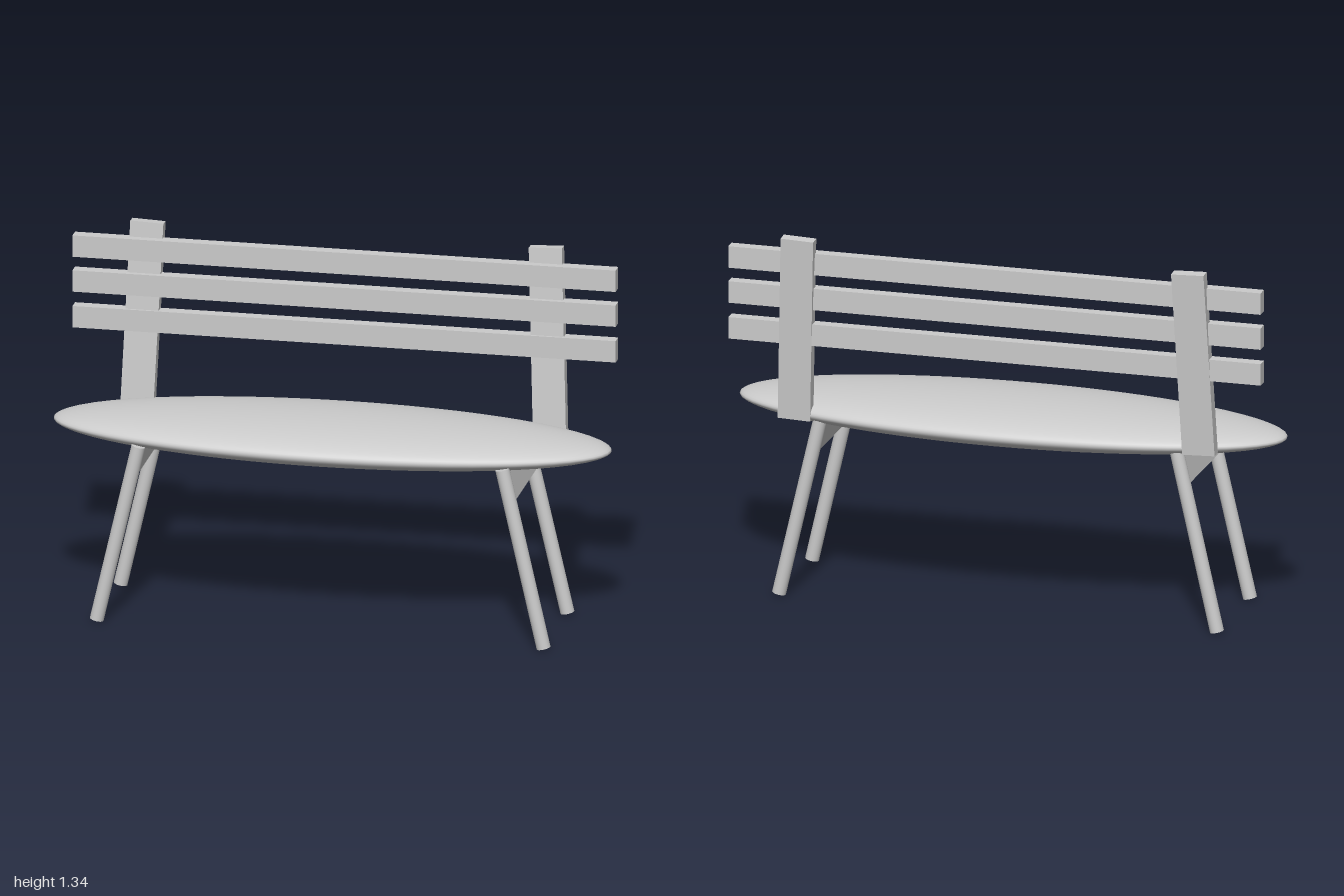
import * as THREE from 'three';

const UP = new THREE.Vector3(0, 1, 0);

export function createModel() {
  const bench = new THREE.Group();
  bench.name = 'bench';
  const material = new THREE.MeshStandardMaterial({ color: 0xcccccc });

  function add(name, geometry, x, y, z) {
    const mesh = new THREE.Mesh(geometry, material);
    mesh.name = name;
    mesh.position.set(x, y, z);
    bench.add(mesh);
    return mesh;
  }

  // Seat: a flattened ellipsoid
  const seat = new THREE.SphereGeometry(1, 64, 40).scale(1, 0.074, 0.302);
  add('seat', seat, 0, 0.675, 0);

  // Three horizontal backrest slats
  for (const y of [0.98, 1.112, 1.241]) {
    add('backSlat', new THREE.BoxGeometry(1.95, 0.079, 0.044), 0, y, -0.218);
  }

  for (const side of [-1, 1]) {
    const sideName = side > 0 ? 'left' : 'right';

    // Backrest post, leaning back and slightly inwards
    const post = add(sideName + 'BackPost', new THREE.BoxGeometry(0.119, 0.68, 0.041),
      side * 0.728, 0.996, -0.224);
    post.rotation.set(-0.075, 0, side * 0.038);

    // Splayed round legs
    for (const [end, footZ, topZ] of [['Front', 0.216, 0.212], ['Back', -0.195, -0.19]]) {
      const foot = new THREE.Vector3(side * 0.802, 0.006, footZ);
      const top = new THREE.Vector3(side * 0.653, 0.655, topZ);
      const axis = top.clone().sub(foot);
      const centre = foot.clone().add(top).multiplyScalar(0.5);
      const leg = add(sideName + end + 'Leg',
        new THREE.CylinderGeometry(0.025, 0.025, axis.length(), 24), centre.x, centre.y, centre.z);
      leg.quaternion.setFromUnitVectors(UP, axis.normalize());
    }

    // Rail joining the front and back leg, in line with their splay
    const rail = add(sideName + 'LegRail', new THREE.BoxGeometry(0.026, 0.115, 0.4),
      side * 0.669, 0.587, 0.01);
    rail.rotation.z = side * 0.226;
  }

  return bench;
}
